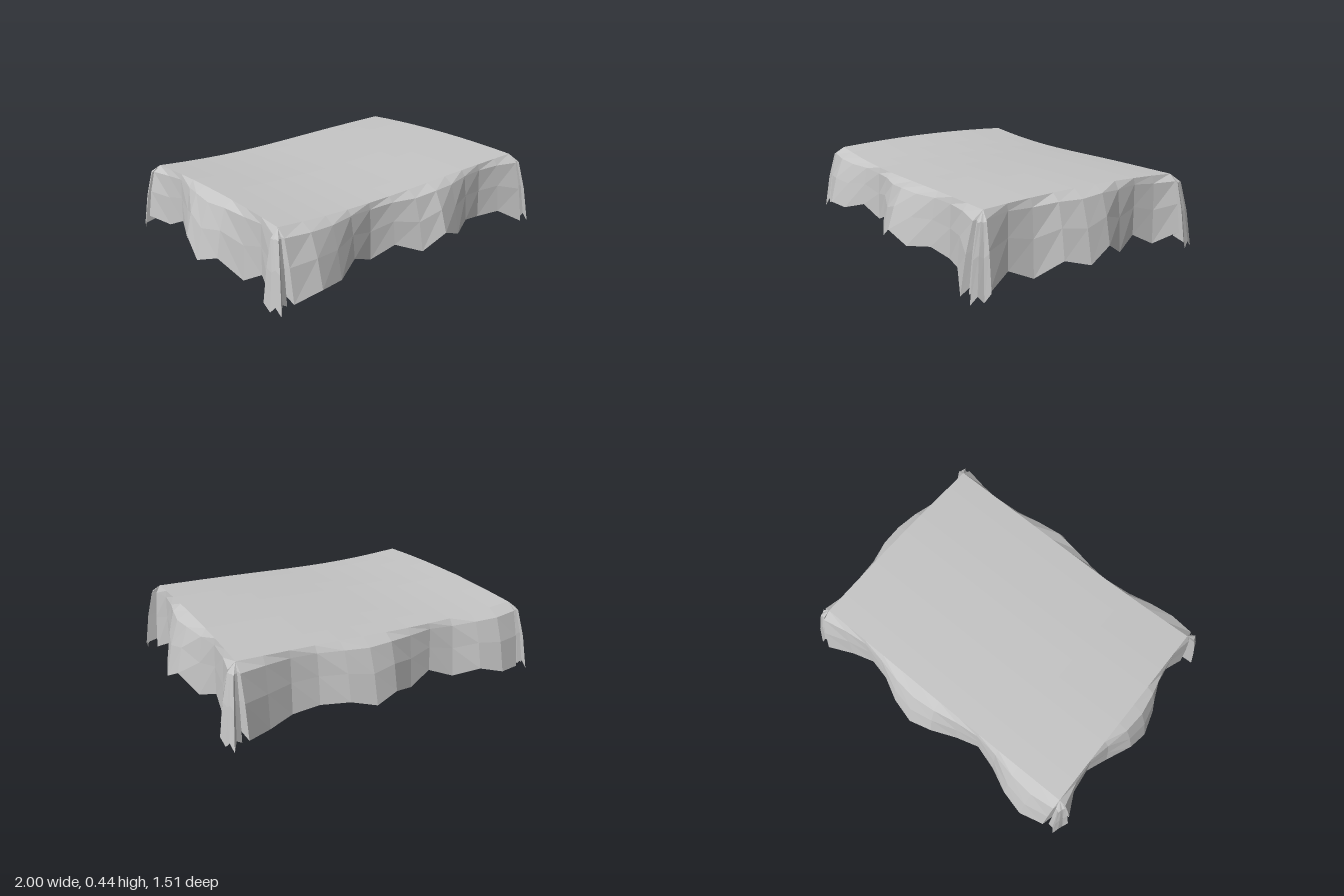
import * as THREE from 'three';

const HX = 0.85, HZ = 0.6; // half size of the flat top
const cloth = new THREE.MeshStandardMaterial({ color: 0xc4c4c4, flatShading: true, side: THREE.DoubleSide });
cloth.name = 'grey cloth';

// gently sagging height of the top sheet
const height = (x, z) =>
  0.404 + 0.0135 * x + 0.031 * x * x + 0.008 * Math.sin(Math.PI * x / HX) - 0.02 * (z / HZ) ** 2;

// builds a mesh from a list of equally long rows of [x, y, z]
function sheet(name, rows) {
  const n = rows[0].length, index = [];
  for (let r = 0; r < rows.length - 1; r++)
    for (let i = 0; i < n - 1; i++) {
      const a = r * n + i, b = a + n;
      index.push(a, b, a + 1, a + 1, b, b + 1);
    }
  const g = new THREE.BufferGeometry();
  g.setAttribute('position', new THREE.Float32BufferAttribute(rows.flat(2), 3));
  g.setIndex(index);
  g.computeVertexNormals();
  const mesh = new THREE.Mesh(g, cloth);
  mesh.name = name;
  return mesh;
}

// hanging cloth: each column runs from a top point out and down to its hem point
const FALL = [[0, 0], [0.44, 0.11], [0.75, 0.5], [1, 1]]; // [outward, downward]
function drape(name, columns) {
  return sheet(name, FALL.map(([out, down]) => columns.map(({ top, hem }) => {
    const y = height(top[0], top[1]);
    return [
      top[0] + (hem[0] - top[0]) * out,
      y + (hem[1] - y) * down,
      top[1] + (hem[2] - top[1]) * out,
    ];
  })));
}

// wavy outline of the hem
const frontWave = x => 0.688 + 0.068 * Math.cos(2 * Math.PI * (x - 0.14) / 0.84);
const sideWave = z => 0.93 + 0.07 * Math.cos(2 * Math.PI * (z - 0.04) / 0.82);

// ragged hem heights, front and back from -x to +x, sides from +z to -z
const FRONT = [0.04, 0.085, 0.08, 0.125, 0.065, 0.12, 0.065, 0.145, 0.09, 0.115, 0.09, 0.10, 0.02];
const BACK = [0.03, 0.045, 0.085, 0.045, 0.10, 0.045, 0.09, 0.06, 0.10, 0.09, 0.06, 0.035, 0.05];
const LEFT = [0.02, 0.09, 0.03, 0.115, 0.08, 0.15, 0.065, 0.12, 0.05, 0.11];
const RIGHT = [0.04, 0.10, 0.025, 0.12, 0.075, 0.16, 0.08, 0.13, 0.07, 0.10];

export function createModel() {
  const group = new THREE.Group();
  group.name = 'draped cloth';

  // top sheet
  const rows = [];
  for (let j = 0; j <= 9; j++) {
    const row = [];
    for (let i = 0; i <= 12; i++) {
      const x = -HX + 2 * HX * i / 12, z = -HZ + 2 * HZ * j / 9;
      row.push([x, height(x, z), z]);
    }
    rows.push(row);
  }
  group.add(sheet('topSheet', rows));

  // long skirts
  const long = (name, s, hems) => drape(name, hems.map((y, i) => {
    const x = -HX + 2 * HX * i / 12;
    return { top: [x, s * HZ], hem: [x, y, s * frontWave(x)] };
  }));
  group.add(long('frontSkirt', 1, FRONT), long('backSkirt', -1, BACK.slice()));

  // short skirts
  const short = (name, s, hems) => drape(name, hems.map((y, i) => {
    const z = HZ - 2 * HZ * i / 9;
    return { top: [s * HX, z], hem: [s * sideWave(z), y, z] };
  }));
  group.add(short('leftSkirt', 1, LEFT), short('rightSkirt', -1, RIGHT));

  // pinched folds hanging from the four corners: [x, y, z] of the hem
  const fold = [
    [0.868, 0.08, 0.655], [0.875, 0.03, 0.695], [0.905, 0.05, 0.70], [0.925, 0.0, 0.72],
    [0.935, 0.04, 0.685], [0.945, 0.005, 0.655], [0.96, 0.05, 0.625], [0.89, 0.07, 0.615],
  ];
  for (const sx of [1, -1])
    for (const sz of [1, -1]) {
      const ends = [
        [HX, (sz > 0 ? FRONT : BACK).at(sx > 0 ? -1 : 0), frontWave(sx * HX)],
        [sideWave(sz * HZ), (sx > 0 ? LEFT : RIGHT).at(sz > 0 ? 0 : -1), HZ],
      ];
      const columns = [ends[0], ...fold, ends[1]].map(([x, y, z]) => (
        { top: [sx * HX, sz * HZ], hem: [sx * x, y, sz * z] }));
      group.add(drape((sz > 0 ? 'front' : 'back') + (sx > 0 ? 'Left' : 'Right') + 'CornerFold', columns));
    }
  return group;
}
